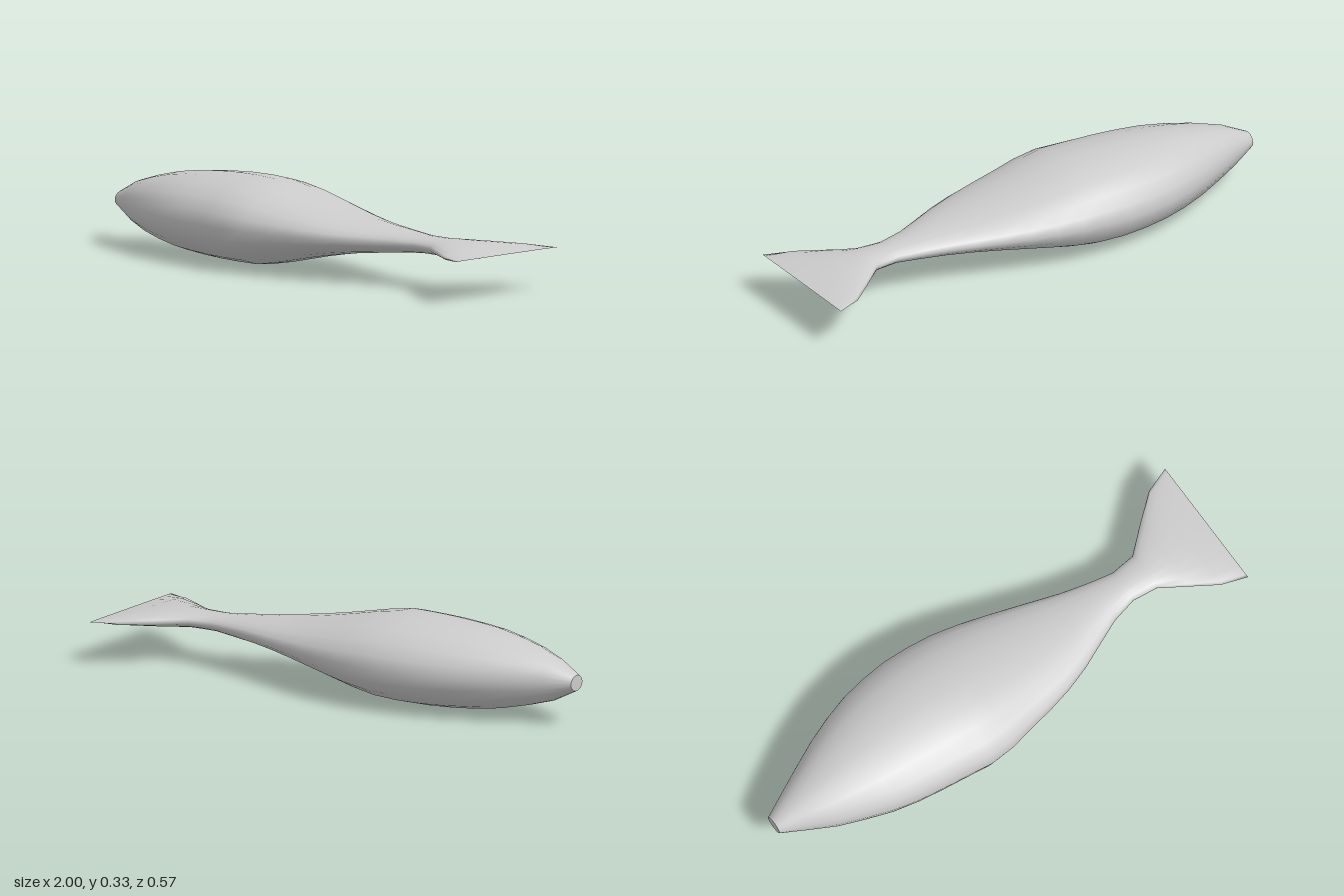
import * as THREE from 'three';

const SIDES = 20, MID_Y = 0.163;

// Stations every 0.1 along x, nose to tail: half height, right edge and left edge in z
const halfHeight = [0.03, 0.081, 0.111, 0.134, 0.149, 0.157, 0.162, 0.163, 0.16, 0.142, 0.12,
  0.098, 0.079, 0.063, 0.052, 0.042, 0.033, 0.032, 0.03, 0.022, 0.001];
const backZ = [-0.03, -0.08, -0.13, -0.178, -0.218, -0.249, -0.267, -0.276, -0.272, -0.262, -0.24,
  -0.212, -0.18, -0.147, -0.114, -0.088, -0.067, -0.078, -0.166, -0.25, -0.287];
const frontZ = [0.044, 0.095, 0.147, 0.185, 0.22, 0.243, 0.258, 0.27, 0.283, 0.277, 0.256,
  0.238, 0.214, 0.18, 0.135, 0.091, 0.067, 0.078, 0.142, 0.206, 0.24];

// Elliptical rings joined into one smooth skin
function loftSkin() {
  const positions = [], index = [];
  halfHeight.forEach((h, i) => {
    const midZ = (backZ[i] + frontZ[i]) / 2, w = (frontZ[i] - backZ[i]) / 2;
    for (let j = 0; j < SIDES; j++) {
      const a = (j / SIDES) * Math.PI * 2;
      positions.push(-1 + i * 0.1, MID_Y + h * Math.cos(a), midZ + w * Math.sin(a));
    }
  });
  for (let i = 0; i < halfHeight.length - 1; i++) {
    for (let j = 0; j < SIDES; j++) {
      const a = i * SIDES + j, b = i * SIDES + (j + 1) % SIDES;
      index.push(a, b, a + SIDES, b, b + SIDES, a + SIDES);
    }
  }
  const geometry = new THREE.BufferGeometry();
  geometry.setAttribute('position', new THREE.Float32BufferAttribute(positions, 3));
  geometry.setIndex(index);
  geometry.computeVertexNormals();
  return geometry;
}

export function createModel() {
  const group = new THREE.Group();
  group.name = 'fish';
  const material = new THREE.MeshStandardMaterial({ color: 0xcccccc });
  const add = (name, geometry) => {
    const mesh = new THREE.Mesh(geometry, material);
    mesh.name = name;
    group.add(mesh);
    return mesh;
  };

  // Body and tail fin share the skin's normals, so the joint stays smooth
  const skin = loftSkin();
  const split = 16 * SIDES * 6;
  const indices = Array.from(skin.index.array);
  const body = skin.clone(), tail = skin.clone();
  body.setIndex(indices.slice(0, split));
  tail.setIndex(indices.slice(split));
  add('body', body);
  add('tailFin', tail);

  // Flat blunt end of the nose
  const nose = new THREE.CircleGeometry(1, SIDES);
  nose.scale((frontZ[0] - backZ[0]) / 2, halfHeight[0], 1);
  nose.rotateY(-Math.PI / 2);
  add('noseTip', nose).position.set(-1, MID_Y, (frontZ[0] + backZ[0]) / 2);

  return group;
}
